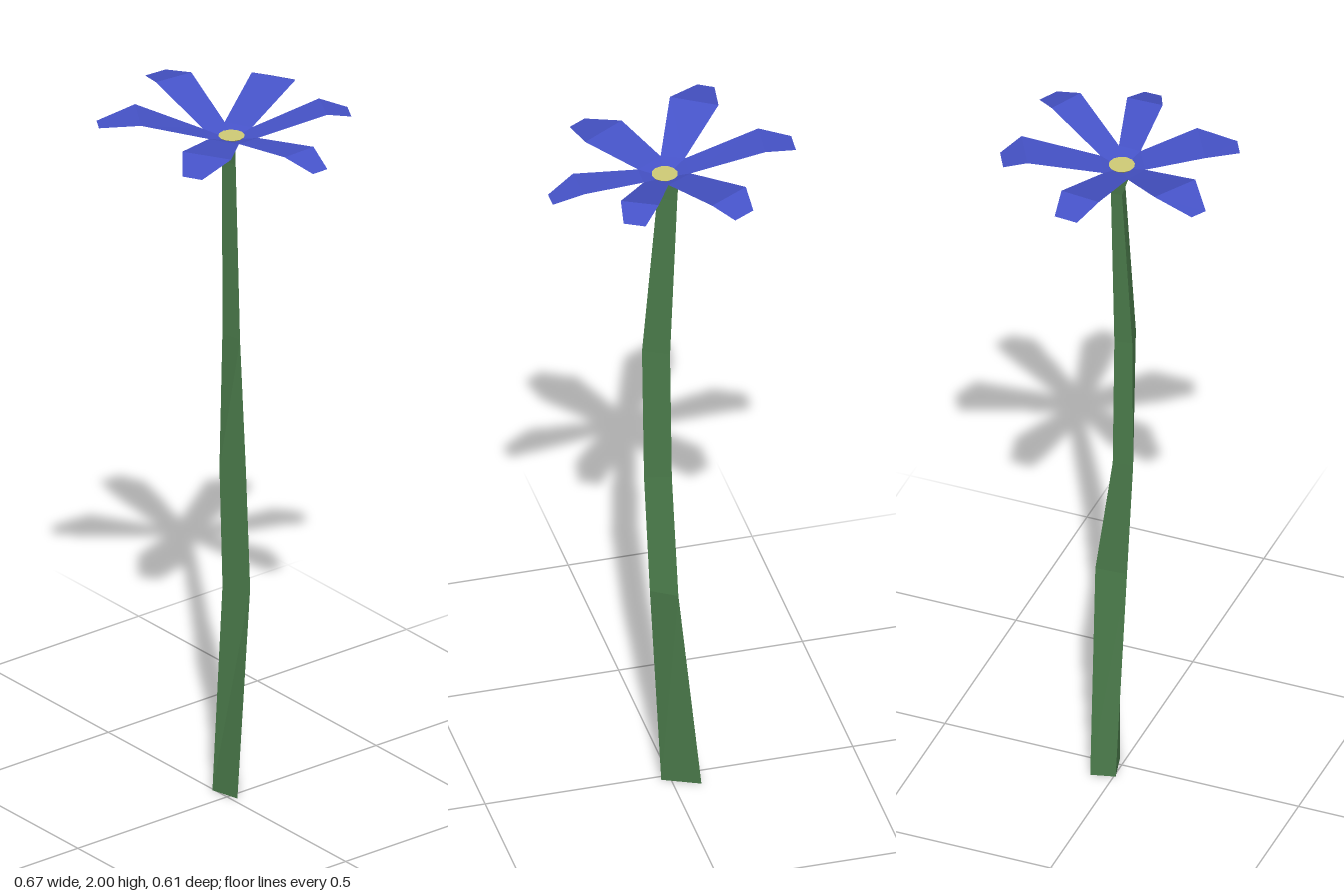
import * as THREE from 'three';

const stemGreen = new THREE.MeshStandardMaterial({ color: 0x4a7a4a, flatShading: true });
stemGreen.name = 'stem green';
const petalBlue = new THREE.MeshStandardMaterial({ color: 0x4653c8, flatShading: true, side: THREE.DoubleSide });
petalBlue.name = 'petal blue';
const pollenYellow = new THREE.MeshStandardMaterial({ color: 0xcfcb76, flatShading: true });
pollenYellow.name = 'pollen yellow';

// Flat-shaded geometry from a list of [a, b, c] corner triples
function facets(tris) {
  const g = new THREE.BufferGeometry();
  g.setAttribute('position', new THREE.Float32BufferAttribute(tris.flat(2), 3));
  g.computeVertexNormals();
  return g;
}
const quad = (a, b, c, d) => [[a, b, c], [a, c, d]];

function part(name, geometry, material, parent) {
  const mesh = new THREE.Mesh(geometry, material);
  mesh.name = name;
  parent.add(mesh);
  return mesh;
}

// Three-sided stem: each row is height, then x,z of the front, right and back edges
const STEM = [
  [0, -0.055, 0.005, 0.025, -0.015, -0.072, -0.06],
  [0.62, 0.0, 0.015, 0.06, -0.03, -0.006, -0.072],
  [0.97, 0.006, 0.03, 0.07, -0.008, -0.001, -0.025],
  [1.36, 0.012, 0.025, 0.07, 0.012, 0.003, -0.022],
  [1.85, -0.013, 0.006, 0.033, -0.003, -0.016, -0.024],
  [1.922, -0.018, 0.03, 0.036, 0.0, -0.018, -0.03],
];

function stemGeometry() {
  const rows = STEM.map(([y, ...p]) => [0, 1, 2].map((i) => [p[2 * i], y, p[2 * i + 1]]));
  const tris = [];
  for (let r = 0; r < rows.length - 1; r++) {
    for (let i = 0; i < 3; i++) {
      const j = (i + 1) % 3;
      tris.push(...quad(rows[r][i], rows[r][j], rows[r + 1][j], rows[r + 1][i]));
    }
  }
  const [a, b, c] = rows[0];
  tris.push([a, c, b], rows[rows.length - 1]);
  return facets(tris);
}

// Petal bases meet in this ring of x,z points, counter-clockwise from above
const CENTRE = [0.013, 1.916, -0.005];
const RING_Y = 1.936;
const RING = [[0.078, 0.022], [0.08, -0.04], [0.02, -0.068], [-0.05, -0.032], [-0.053, 0.038], [0.005, 0.065]];

// Each petal: fold height, tip height, then x,z of the two fold corners and two tip corners
const PETALS = [
  ['rightPetal', 1.962, 1.932, [0.258, 0.012], [0.255, -0.087], [0.335, -0.022], [0.335, -0.07]],
  ['backRightPetal', 1.997, 1.975, [0.183, -0.19], [0.092, -0.235], [0.195, -0.262], [0.143, -0.29]],
  ['backLeftPetal', 1.99, 1.96, [-0.045, -0.265], [-0.153, -0.205], [-0.097, -0.305], [-0.155, -0.273]],
  ['leftPetal', 1.996, 1.976, [-0.242, -0.073], [-0.253, 0.037], [-0.33, -0.057], [-0.335, 0.008]],
  ['frontLeftPetal', 1.998, 1.976, [-0.18, 0.165], [-0.067, 0.235], [-0.2, 0.278], [-0.16, 0.302]],
  ['frontRightPetal', 1.967, 1.945, [0.072, 0.207], [0.19, 0.137], [0.155, 0.272], [0.203, 0.245]],
];

export function createModel() {
  const flower = new THREE.Group();
  flower.name = 'flower';
  part('stem', stemGeometry(), stemGreen, flower);

  // Petals: a slice of the shallow cup, a rising blade and a drooping tip
  const blossom = new THREE.Group();
  blossom.name = 'blossom';
  flower.add(blossom);
  const at = ([x, z], y) => [x, y, z];
  PETALS.forEach(([name, foldY, tipY, f0, f1, t0, t1], i) => {
    const a = at(RING[i], RING_Y);
    const b = at(RING[(i + 1) % 6], RING_Y);
    const fold = [at(f0, foldY), at(f1, foldY)];
    const tris = [
      [CENTRE, a, b],
      ...quad(a, fold[0], fold[1], b),
      ...quad(fold[0], at(t0, tipY), at(t1, tipY), fold[1]),
    ];
    part(name, facets(tris), petalBlue, blossom);
  });

  // Flat pollen disc in the cup
  const disc = part('pollenDisc', new THREE.CylinderGeometry(0.035, 0.03, 0.006, 12), pollenYellow, blossom);
  disc.position.set(CENTRE[0], 1.926, CENTRE[2]);

  return flower;
}
